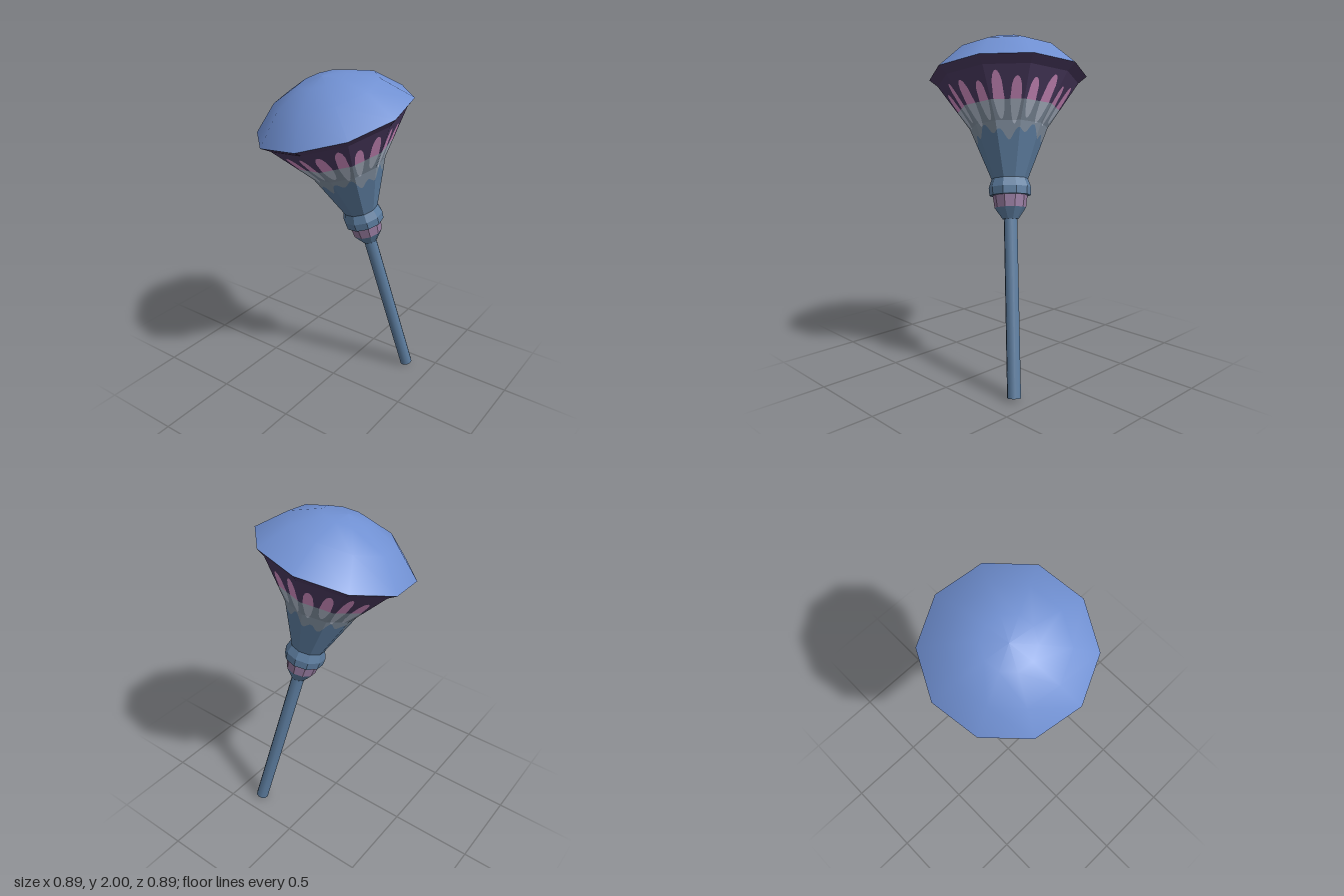
import * as THREE from 'three';
import { toCreasedNormals } from 'three/addons/utils/BufferGeometryUtils.js';

const SIDES = 10, FINGERS = 20, STEPS = 240;
const PHASE = THREE.MathUtils.degToRad(8.5);

const material = (name, color) => {
  const m = new THREE.MeshStandardMaterial({ color });
  m.name = name;
  return m;
};

export function createModel() {
  const capBlue = material('cap blue', 0x7090d2);
  const steel = material('steel blue', 0x5c7c9e);
  const grey = material('grey', 0x8290a0);
  const pale = material('pale grey', 0xb2bccd);
  const pink = material('pink', 0xd48fc4);
  const purple = material('dark purple', 0x4b3a60);
  const mauve = material('mauve', 0x957a9e);

  const model = new THREE.Group();
  model.name = 'tiltedLamp';

  // Everything is built round an upright axis, with the rim at y = 0, then leaned
  const body = new THREE.Group();
  body.name = 'leaningBody';
  body.position.set(0, 1.76, 0);
  body.quaternion.setFromUnitVectors(
    new THREE.Vector3(0, 1, 0), new THREE.Vector3(-0.333, 1.748, 0.388).normalize());
  model.add(body);

  const add = (name, geometry, mat) => {
    const mesh = new THREE.Mesh(geometry, mat);
    mesh.name = name;
    body.add(mesh);
    return mesh;
  };
  const lathe = (points) => new THREE.LatheGeometry(
    points.map(([r, y]) => new THREE.Vector2(r, y)), SIDES, PHASE);
  const faceted = (points) => toCreasedNormals(lathe(points), 0.2);

  // Smooth domed cap
  add('cap', lathe([[0.46, 0], [0.308, 0.143], [0.14, 0.214], [0, 0.23]]), capBlue);

  // Stem
  const stem = add('stem', new THREE.CylinderGeometry(0.039, 0.039, 1.03, SIDES), steel);
  stem.position.y = -1.305;

  // Cup and collar under the funnel
  add('cupBase', faceted([[0, -0.825], [0.045, -0.825], [0.09, -0.76]]), steel);
  add('cupBand', faceted([[0.09, -0.76], [0.1, -0.69]]), mauve);
  add('collar', faceted([[0.1, -0.69], [0.118, -0.69], [0.122, -0.645], [0.105, -0.595]]), steel);

  // Ten-sided funnel, split into colour bands with scalloped borders
  const profile = [[0.105, -0.595], [0.225, -0.3], [0.41, -0.04], [0.46, 0]];
  const finger = (i) => {
    const per = STEPS / FINGERS;
    const u = ((i % per) / per - 0.5) / 0.32;
    return Math.abs(u) < 1 ? Math.sqrt(1 - u * u) : 0;
  };
  const length = (i) => 0.85 + 0.15 * Math.sin(Math.floor(i / 12) * 2.3);
  const wave = (i) => {
    const a = i / STEPS * Math.PI * 2;
    return Math.sin(5 * a) * 0.5 + Math.sin(13 * a + 1) * 0.5;
  };
  const borders = [
    () => -0.595,
    (i) => -0.355 + 0.045 * wave(i),
    (i) => Math.max(-0.2 - 0.12 * finger(i) * length(i + 24), -0.355 + 0.045 * wave(i)),
    () => -0.2,
    (i) => -0.2 + 0.135 * finger(i) * length(i),
    () => 0,
  ];

  // Point on the flat-sided funnel at angular step i and height y
  const onFunnel = (i, y, k) => {
    const [r0, y0] = profile[k], [r1, y1] = profile[k + 1];
    const r = r0 + (r1 - r0) * (y - y0) / (y1 - y0);
    const t = i * SIDES / STEPS, side = Math.floor(t);
    const corner = (n) => {
      const a = PHASE + n * 2 * Math.PI / SIDES;
      return new THREE.Vector3(r * Math.sin(a), y, r * Math.cos(a));
    };
    return corner(side).lerp(corner(side + 1), t - side);
  };

  const band = (lower, upper) => {
    const pos = [];
    const triangle = (a, b, c) => {
      const area = b.clone().sub(a).cross(c.clone().sub(a)).length();
      if (area > 1e-9) [a, b, c].forEach((p) => pos.push(p.x, p.y, p.z));
    };
    for (let k = 0; k < profile.length - 1; k++) {
      const clamp = (y) => THREE.MathUtils.clamp(y, profile[k][1], profile[k + 1][1]);
      for (let i = 0; i < STEPS; i++) {
        const a = onFunnel(i, clamp(lower(i)), k);
        const b = onFunnel(i + 1, clamp(lower(i + 1)), k);
        const c = onFunnel(i + 1, clamp(upper(i + 1)), k);
        const d = onFunnel(i, clamp(upper(i)), k);
        triangle(a, b, c);
        triangle(a, c, d);
      }
    }
    const geometry = new THREE.BufferGeometry();
    geometry.setAttribute('position', new THREE.Float32BufferAttribute(pos, 3));
    geometry.computeVertexNormals();
    return geometry;
  };

  [['funnelNeck', steel], ['funnelGreyBand', grey], ['paleDrips', pale],
    ['pinkFingers', pink], ['funnelRim', purple]].forEach(([name, mat], n) => {
    add(name, band(borders[n], borders[n + 1]), mat);
  });

  return model;
}
